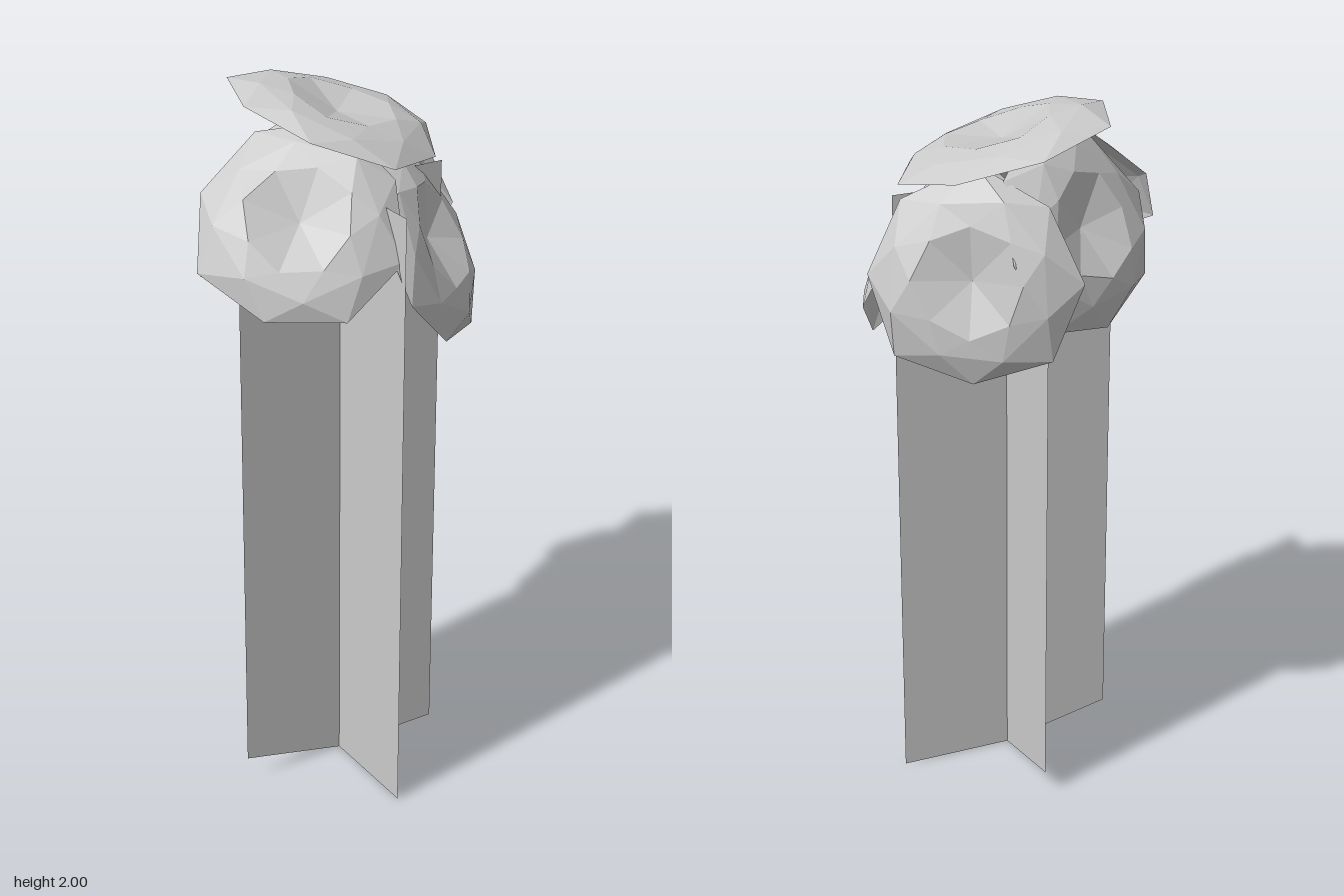
import * as THREE from 'three';

const material = new THREE.MeshStandardMaterial({ color: 0xcccccc, flatShading: true, side: THREE.DoubleSide });

// Flat upright card from a few outline corners
function card(name, corners) {
  const shape = new THREE.Shape(corners.map(([x, y]) => new THREE.Vector2(x, y)));
  const mesh = new THREE.Mesh(new THREE.ShapeGeometry(shape), material);
  mesh.name = name;
  return mesh;
}

// Shallow faceted bloom: sunken centre, raised ring, drooping rim
function bloom(name, centre, normal, radius, seed, depth = 1) {
  const profile = [[0, 0.02], [0.15, 0.062], [0.22, 0.046], [0.29, 0]]
    .map(([r, h]) => new THREE.Vector2(r, h * depth));
  const geometry = new THREE.LatheGeometry(profile, 8);
  const p = geometry.attributes.position;
  for (let i = 0; i < p.count; i++) {
    const ring = i % profile.length;
    const r = Math.hypot(p.getX(i), p.getZ(i));
    const a = Math.atan2(p.getZ(i), p.getX(i));
    // Irregular outline, each ring turned half a step from the last
    const wobble = 1 + 0.04 * Math.sin(3 * a + seed);
    const turned = a - ring * Math.PI / 8 + seed;
    const k = (r * wobble * radius) / 0.285;
    const lift = r > 0 ? 0.01 * depth * Math.sin(2 * a + seed * 2) : 0;
    p.setXYZ(i, k * Math.cos(turned), p.getY(i) + lift, k * Math.sin(turned));
  }
  geometry.computeVertexNormals();
  const mesh = new THREE.Mesh(geometry, material);
  mesh.name = name;
  mesh.position.set(...centre);
  mesh.quaternion.setFromUnitVectors(new THREE.Vector3(0, 1, 0), new THREE.Vector3(...normal).normalize());
  return mesh;
}

export function createModel() {
  const model = new THREE.Group();
  model.name = 'flowerStalk';

  // Stem: two crossed cards
  const wide = card('stemCardAcross', [[-0.32, 0.07], [-0.01, 0], [0.31, 0], [0.31, 1.76], [-0.32, 1.76]]);
  wide.position.z = 0.06;
  const deep = card('stemCardAlong', [[0.37, 0], [0.06, 0], [-0.23, 0.07], [-0.23, 1.76], [0.37, 1.76]]);
  deep.rotation.y = -Math.PI / 2;
  deep.position.x = -0.01;
  model.add(wide, deep);

  // Flower head: one bloom on top and four around it
  model.add(
    bloom('topBloom', [0.04, 1.9, -0.045], [0.25, 0.95, 0.16], 0.29, 0.4, 0.75),
    bloom('frontLeftBloom', [0.18, 1.59, 0.155], [0.62, 0.45, 0.64], 0.285, 1.7),
    bloom('frontRightBloom', [-0.185, 1.705, 0.145], [-0.47, 0.57, 0.64], 0.275, 2.9),
    bloom('backLeftBloom', [0.18, 1.6, -0.19], [0.55, 0.2, -0.81], 0.28, 4.1),
    bloom('backRightBloom', [-0.115, 1.68, -0.15], [-0.45, 0.38, -0.77], 0.28, 5.3)
  );
  return model;
}
